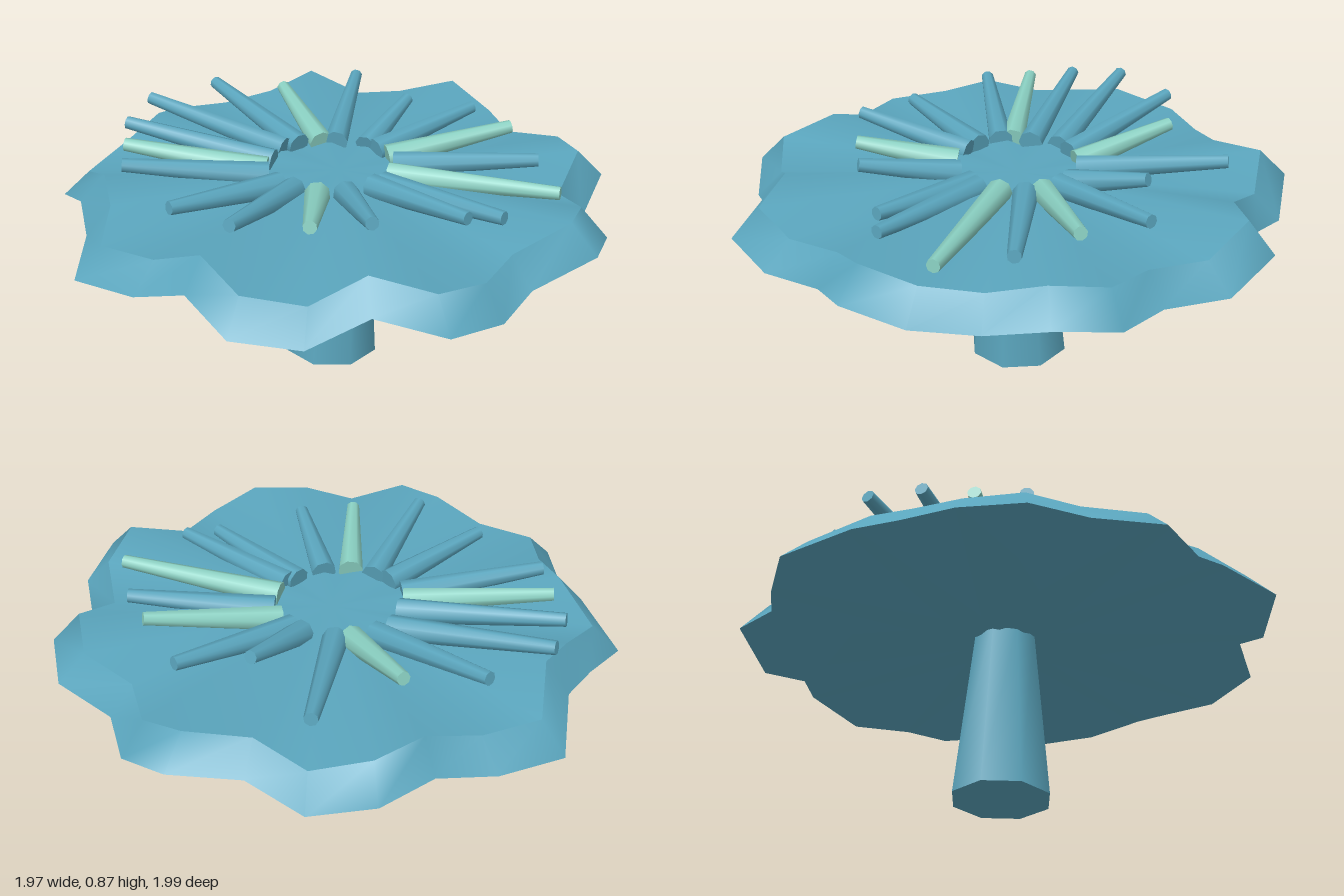
import * as THREE from 'three';

const teal = new THREE.MeshStandardMaterial({ color: 0x5aa5bd });
const mint = new THREE.MeshStandardMaterial({ color: 0x8ad0c2 });
const SEGMENTS = 28;

// Wavy rim: nine lobes in plan, a height wave repeating every quarter turn
const rimHeights = [0.65, 0.69, 0.62, 0.615, 0.65, 0.68, 0.6];
function rimPoint(k, scale, lift) {
  const a = (k / SEGMENTS) * Math.PI * 2;
  const r = (0.95 + 0.07 * Math.cos(9 * a - 1.2)) * scale;
  return [Math.cos(a) * r, rimHeights[k % 7] + lift, Math.sin(a) * r];
}

function ring(scale, lift) {
  return Array.from({ length: SEGMENTS }, (_, k) => rimPoint(k, scale, lift));
}

function surface(name, points, triangles) {
  const geometry = new THREE.BufferGeometry();
  geometry.setAttribute('position', new THREE.Float32BufferAttribute(points.flat(), 3));
  geometry.setIndex(triangles);
  geometry.computeVertexNormals();
  const mesh = new THREE.Mesh(geometry, teal);
  mesh.name = name;
  return mesh;
}

// Fan of triangles from a centre point to a ring
function fan(name, points, centreY, facesUp) {
  const triangles = [];
  for (let k = 0; k < SEGMENTS; k++) {
    const next = (k + 1) % SEGMENTS;
    triangles.push(SEGMENTS, facesUp ? next : k, facesUp ? k : next);
  }
  return surface(name, [...points, [0, centreY, -0.02]], triangles);
}

// Sloping band between the lower and upper rim
function band(name, lower, upper) {
  const triangles = [];
  for (let k = 0; k < SEGMENTS; k++) {
    const next = (k + 1) % SEGMENTS;
    triangles.push(k, k + SEGMENTS, next, next, k + SEGMENTS, next + SEGMENTS);
  }
  return surface(name, [...lower, ...upper], triangles);
}

// Tapered rod between two points
function rod(name, from, to, r0, r1, sides, material) {
  const a = new THREE.Vector3(...from);
  const b = new THREE.Vector3(...to);
  const axis = b.clone().sub(a);
  const mesh = new THREE.Mesh(new THREE.CylinderGeometry(r1, r0, axis.length(), sides), material);
  mesh.position.copy(a).add(b).multiplyScalar(0.5);
  mesh.quaternion.setFromUnitVectors(new THREE.Vector3(0, 1, 0), axis.normalize());
  mesh.name = name;
  return mesh;
}

// Tentacles: base x, base z, tip x, tip y, tip z
const tentacles = [
  [0.19, -0.02, 0.80, 0.78, -0.02], [0.19, 0.06, 0.66, 0.785, 0.23],
  [0.16, 0.09, 0.55, 0.79, 0.28], [0.09, 0.17, 0.28, 0.82, 0.47],
  [0.0, 0.21, 0.10, 0.82, 0.56], [-0.09, 0.20, -0.14, 0.83, 0.65],
  [-0.15, 0.18, -0.40, 0.80, 0.55], [-0.22, 0.12, -0.68, 0.82, 0.34],
  [-0.24, 0.08, -0.75, 0.82, 0.18], [-0.24, 0.01, -0.82, 0.83, 0.02],
  [-0.24, -0.10, -0.82, 0.85, -0.18], [-0.20, -0.15, -0.65, 0.85, -0.41],
  [-0.13, -0.20, -0.39, 0.84, -0.48], [-0.08, -0.22, -0.17, 0.82, -0.74],
  [0.04, -0.22, 0.11, 0.84, -0.52], [0.08, -0.20, 0.35, 0.81, -0.59],
  [0.14, -0.16, 0.54, 0.83, -0.41], [0.18, -0.11, 0.68, 0.79, -0.24],
];
const mintTentacles = [0, 4, 8, 12, 16];

export function createModel() {
  const model = new THREE.Group();
  model.name = 'anemone';

  // Leaning stalk
  model.add(rod('stalk', [-0.035, 0.012, -0.015], [0, 0.68, -0.015], 0.186, 0.118, 8, teal));

  // Ruffled cap
  const cap = new THREE.Group();
  cap.name = 'cap';
  const lower = ring(1, 0);
  const upper = ring(0.9, 0.1);
  cap.add(fan('capTop', upper, 0.745, true));
  cap.add(band('capRim', lower, upper));
  cap.add(fan('capUnderside', lower, 0.66, false));
  model.add(cap);

  // Tentacles radiating over the cap
  const crown = new THREE.Group();
  crown.name = 'tentacles';
  tentacles.forEach(([bx, bz, tx, ty, tz], i) => {
    const material = mintTentacles.includes(i) ? mint : teal;
    crown.add(rod('tentacle', [bx, 0.755, bz], [tx, ty, tz], 0.046, 0.024, 8, material));
  });
  model.add(crown);
  return model;
}
